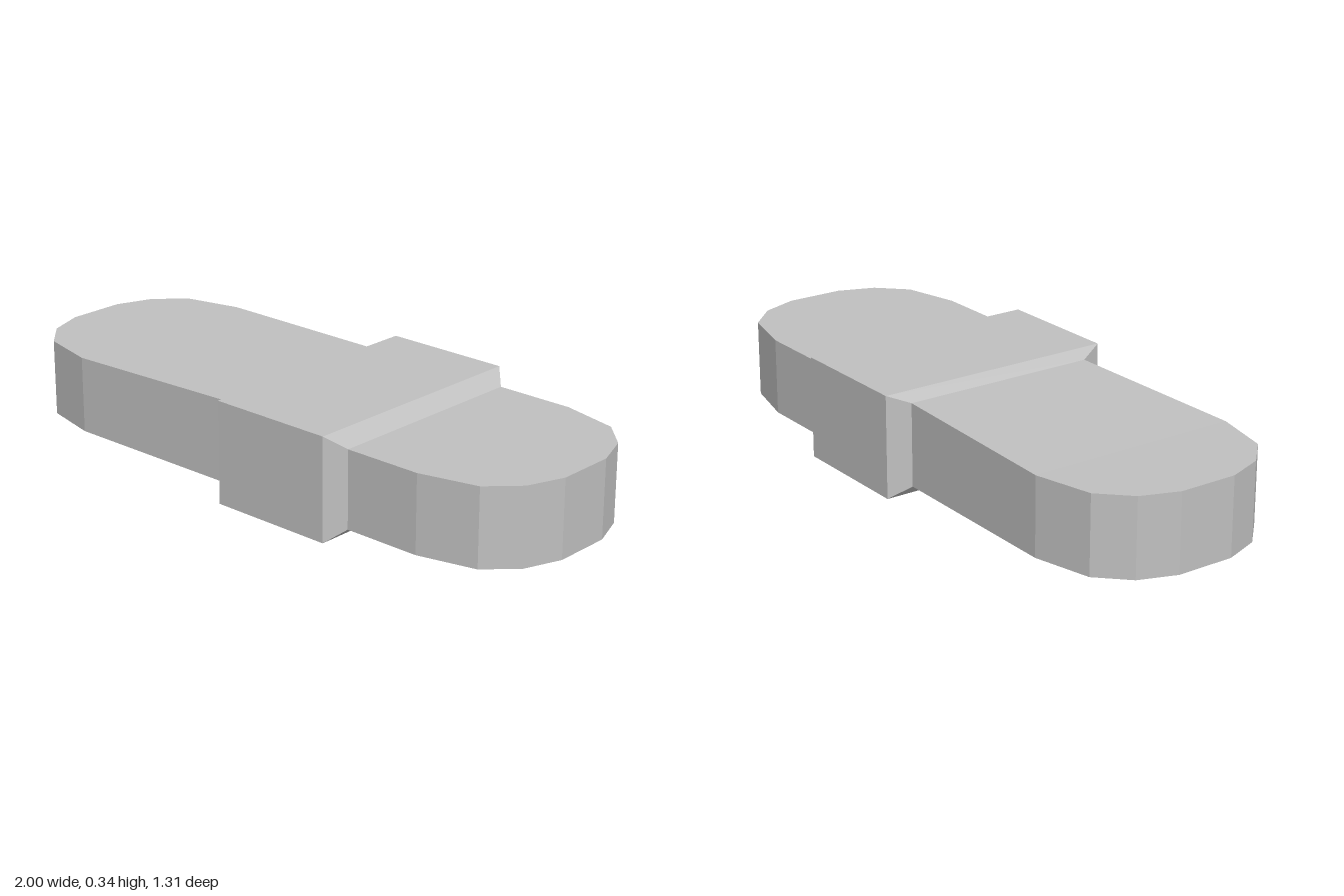
import * as THREE from 'three';

const MID_Y = 0.17;

// Rounded tip: [distance along the body, half width, half height]
const TIP = [
  [1.044, 0.097, 0.128],
  [0.999, 0.219, 0.128],
  [0.907, 0.311, 0.128],
  [0.715, 0.357, 0.128],
];
const BAND = [
  [-0.058, 0.335, 0.138],
  [-0.031, 0.411, 0.17],
  [0.401, 0.411, 0.17],
  [0.452, 0.357, 0.128],
];

// Flat-sided loft through rectangular sections, with optional end caps
function loft(sections, capStart, capEnd) {
  const pos = [];
  const quad = (a, b, c, d) => [a, b, c, a, c, d].forEach((p) => pos.push(...p));
  const rings = sections.map(([x, w, h]) => [
    [x, h, w], [x, h, -w], [x, -h, -w], [x, -h, w],
  ]);
  for (let i = 0; i < rings.length - 1; i++) {
    const a = rings[i], b = rings[i + 1];
    for (let k = 0; k < 4; k++) {
      const n = (k + 1) % 4;
      quad(a[k], b[k], b[n], a[n]);
    }
  }
  if (capStart) quad(...rings[0]);
  if (capEnd) quad(...[...rings[rings.length - 1]].reverse());
  const geometry = new THREE.BufferGeometry();
  geometry.setAttribute('position', new THREE.Float32BufferAttribute(pos, 3));
  geometry.computeVertexNormals();
  return geometry;
}

export function createModel() {
  const grey = new THREE.MeshStandardMaterial({ color: 0xc0c0c0 });
  grey.name = 'light grey';

  const model = new THREE.Group();
  model.name = 'bandedBar';
  const add = (name, geometry) => {
    const mesh = new THREE.Mesh(geometry, grey);
    mesh.name = name;
    mesh.position.y = MID_Y;
    model.add(mesh);
  };

  // Long end, short end and the raised bevelled band between them
  const longTip = TIP.map(([x, w, h]) => [-x, w, h]);
  const shortTip = [...TIP].reverse();
  add('longEnd', loft([...longTip, BAND[0]], true, false));
  add('band', loft(BAND, false, false));
  add('shortEnd', loft([BAND[3], ...shortTip], false, true));

  // The bar lies at a slant
  model.rotation.y = -THREE.MathUtils.degToRad(24.1);
  const root = new THREE.Group();
  root.name = 'model';
  root.add(model);
  return root;
}
